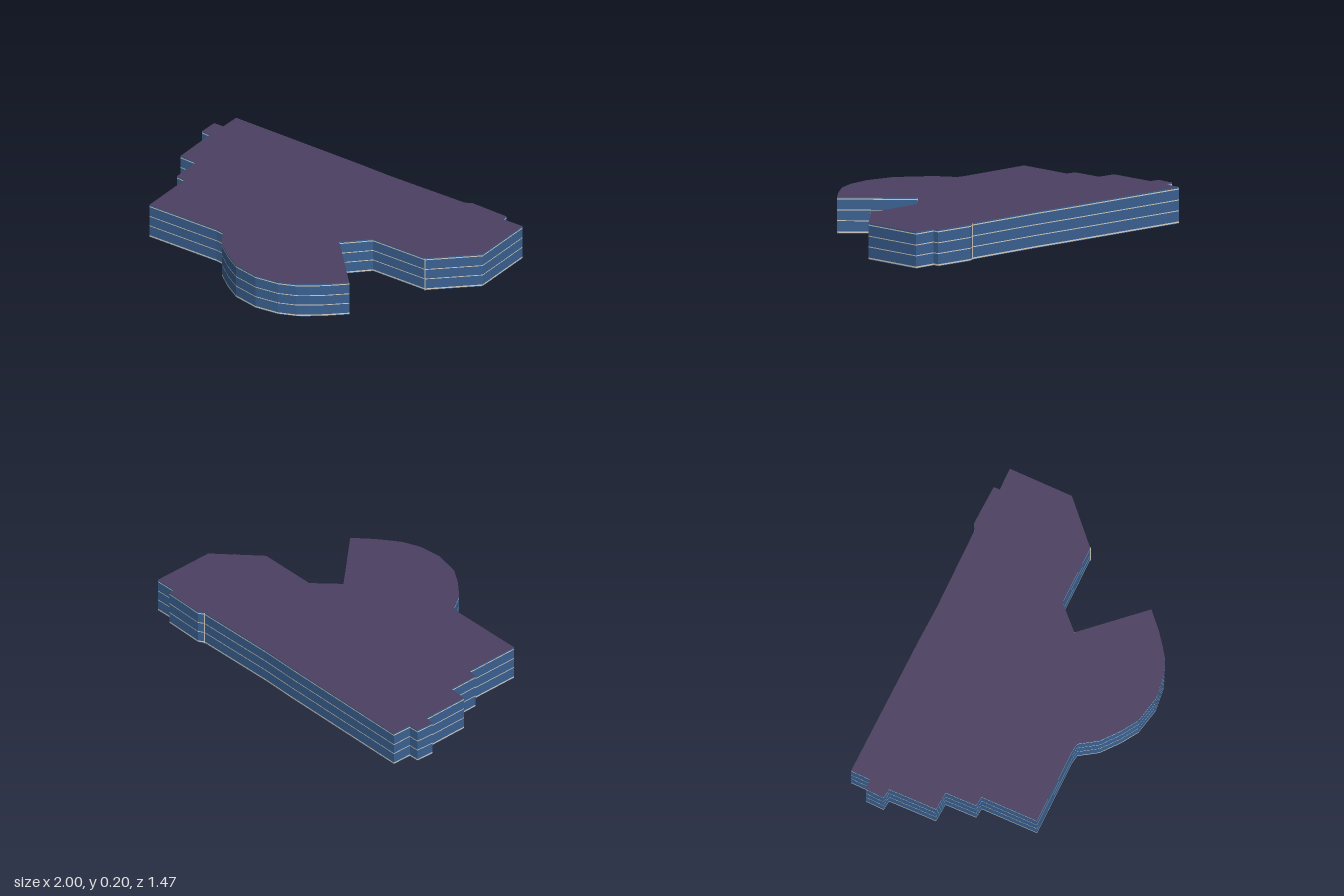
import * as THREE from 'three';

const HEIGHT = 0.2;

// Footprint corners [x, z], clockwise seen from above, starting at the back right corner
const FOOTPRINT = [
  [-0.9, -0.735], [-0.08, -0.59], [0.125, -0.55], [0.61, -0.475], [0.645, -0.49],
  [0.875, -0.445], [0.87, -0.41], [1, -0.39], [0.942, -0.026], [0.684, 0.151],
  [0.342, 0.094], [0.193, 0.203], [0.435, 0.566],
  // curved bay
  [0.325, 0.64], [0.245, 0.684], [0.19, 0.711], [0.09, 0.735], [-0.05, 0.729],
  [-0.195, 0.674], [-0.28, 0.599], [-0.365, 0.504], [-0.415, 0.394],
  // stepped right side
  [-0.46, 0.379], [-0.9, 0.307], [-0.85, -0.018], [-0.905, -0.033], [-0.88, -0.212],
  [-0.985, -0.235], [-0.975, -0.3], [-0.945, -0.51], [-1, -0.525], [-0.98, -0.63],
  [-0.92, -0.622],
];

// Moves every wall line of the footprint inwards by d, with mitred corners
function inset(points, d) {
  const n = points.length;
  const normal = (a, b) => new THREE.Vector2(a[1] - b[1], b[0] - a[0]).normalize();
  return points.map((p, i) => {
    const n1 = normal(points[(i + n - 1) % n], p);
    const n2 = normal(p, points[(i + 1) % n]);
    const k = d / (1 + n1.dot(n2));
    return [p[0] + (n1.x + n2.x) * k, p[1] + (n1.y + n2.y) * k];
  });
}

// Flat-shaded wall strip around an outline between two heights
function wallStrip(outline, y0, y1, inward = false) {
  const pos = [];
  outline.forEach((a, i) => {
    const b = outline[(i + 1) % outline.length];
    const [[px, pz], [qx, qz]] = inward ? [b, a] : [a, b];
    pos.push(qx, y0, qz, px, y0, pz, px, y1, pz);
    pos.push(qx, y0, qz, px, y1, pz, qx, y1, qz);
  });
  const geo = new THREE.BufferGeometry();
  geo.setAttribute('position', new THREE.Float32BufferAttribute(pos, 3));
  geo.computeVertexNormals();
  return geo;
}

function material(name, color) {
  const m = new THREE.MeshStandardMaterial({ color, side: THREE.DoubleSide });
  m.name = name;
  return m;
}

export function createModel() {
  const group = new THREE.Group();
  group.name = 'building';
  const glass = material('blue glass', 0x3a6192);
  const trim = material('pale trim', 0xd6cec2);
  const lining = material('light grey lining', 0xc6cad4);
  const roofing = material('purple roofing', 0x4b4061);

  const add = (name, geo, mat) => {
    const mesh = new THREE.Mesh(geo, mat);
    mesh.name = name;
    group.add(mesh);
  };

  // Storeys of glass separated by thin floor lines [bottom, top]
  const lines = [[0.003, 0.011], [0.067, 0.072], [0.126, 0.131], [0.186, 0.192]];
  let y = 0;
  lines.forEach(([y0, y1], i) => {
    add(`glassBand${i + 1}`, wallStrip(FOOTPRINT, y, y0), glass);
    add(`floorLine${i + 1}`, wallStrip(FOOTPRINT, y0, y1), trim);
    y = y1;
  });
  add('glassBandTop', wallStrip(FOOTPRINT, y, HEIGHT), glass);

  // Inside faces of the walls, seen through the open bottom
  add('wallLining', wallStrip(inset(FOOTPRINT, 0.002), 0, HEIGHT, true), lining);

  // Slim upright trims at three wall corners
  [3, 9, 11].forEach((i) => {
    const [x, z] = FOOTPRINT[i];
    add('cornerTrim', new THREE.BoxGeometry(0.005, HEIGHT - 0.002, 0.005).translate(x, HEIGHT / 2 - 0.001, z), trim);
  });

  // Flat roof
  const shape = new THREE.Shape(FOOTPRINT.map(([x, z]) => new THREE.Vector2(x, -z)));
  add('roof', new THREE.ShapeGeometry(shape).rotateX(-Math.PI / 2).translate(0, HEIGHT, 0), roofing);

  return group;
}
